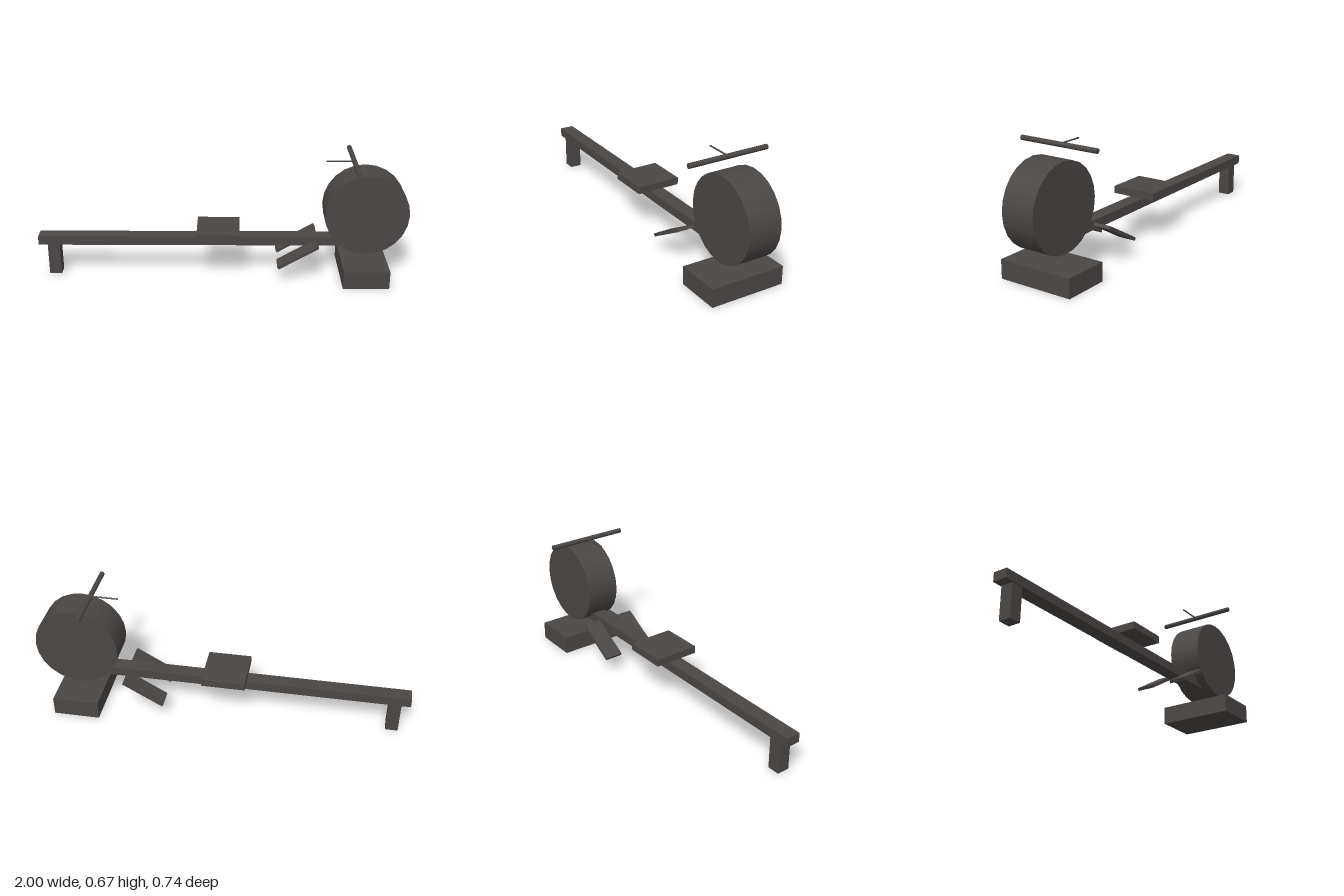
import * as THREE from 'three';

export function createModel() {
  const model = new THREE.Group();
  model.name = 'rowingMachine';

  const charcoal = new THREE.MeshStandardMaterial({ color: 0x4a4644 });
  charcoal.name = 'charcoal';

  // The machine is built along local x, then turned 15 degrees on the floor
  const machine = new THREE.Group();
  machine.name = 'machine';
  machine.rotation.y = -Math.PI / 12;
  model.add(machine);
  const axisZ = -0.064; // centre line of the rail

  const add = (name, geometry, x, y, z = 0) => {
    const mesh = new THREE.Mesh(geometry, charcoal);
    mesh.name = name;
    mesh.position.set(x, y, axisZ + z);
    machine.add(mesh);
    return mesh;
  };
  const box = (name, w, h, d, x, y, z) => add(name, new THREE.BoxGeometry(w, h, d), x, y, z);

  // Frame
  box('rail', 1.81, 0.05, 0.08, -0.136, 0.205);
  box('rearLeg', 0.067, 0.18, 0.067, -0.959, 0.09);
  box('frontBase', 0.252, 0.101, 0.42, 0.762, 0.0505);

  // Sliding seat
  box('seat', 0.235, 0.04, 0.25, -0.044, 0.26);

  // Flywheel housing, axle across the rail
  add('flywheel', new THREE.CylinderGeometry(0.228, 0.228, 0.185, 24), 0.763, 0.382)
    .rotation.x = Math.PI / 2;

  // Sloping footrests on both sides of the rail
  for (const side of [-1, 1]) {
    const name = side > 0 ? 'frontFootrest' : 'backFootrest';
    box(name, 0.25, 0.017, 0.1, 0.391, 0.159, side * 0.107).rotation.z = Math.PI / 6;
  }

  // Pull handle and its chain
  add('handle', new THREE.CylinderGeometry(0.0133, 0.0133, 0.458, 12), 0.687, 0.6615)
    .rotation.x = Math.PI / 2;
  add('chain', new THREE.CylinderGeometry(0.0042, 0.0042, 0.15, 8), 0.612, 0.6615)
    .rotation.z = Math.PI / 2;

  return model;
}
